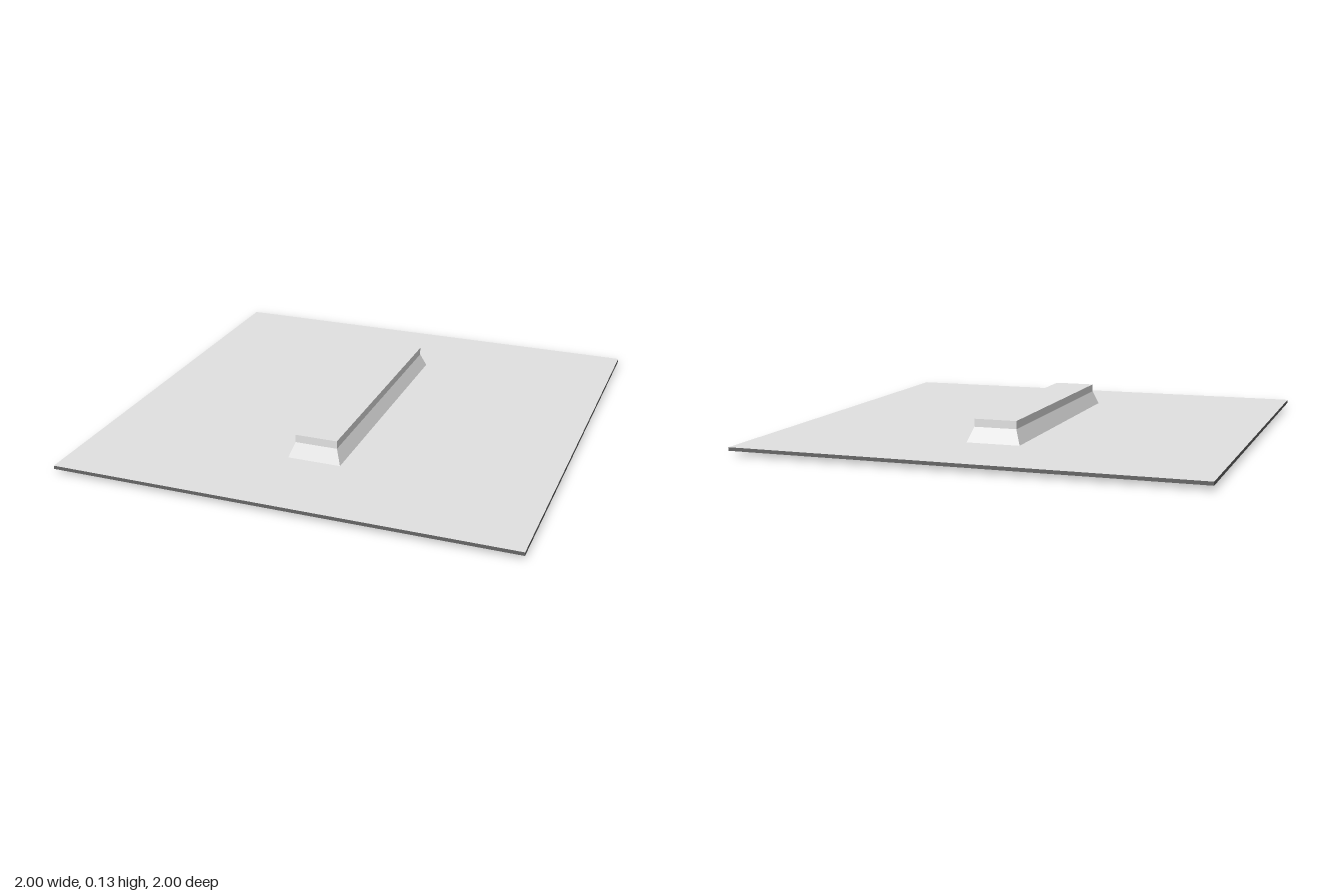
import * as THREE from 'three';

// Skin a stack of rectangular rings [halfWidth, halfLength, y] with flat faces
function rectLoft(rings) {
  const corners = [[1, 1], [1, -1], [-1, -1], [-1, 1]];
  const point = (r, i) => [corners[i % 4][0] * r[0], r[2], corners[i % 4][1] * r[1]];
  const positions = [];
  for (let k = 0; k < rings.length - 1; k++) {
    for (let i = 0; i < 4; i++) {
      const a = point(rings[k], i), b = point(rings[k], i + 1);
      const c = point(rings[k + 1], i + 1), d = point(rings[k + 1], i);
      positions.push(...a, ...b, ...c, ...a, ...c, ...d);
    }
  }
  const geometry = new THREE.BufferGeometry();
  geometry.setAttribute('position', new THREE.Float32BufferAttribute(positions, 3));
  geometry.computeVertexNormals();
  return geometry;
}

function rectangle(Type, w, l) {
  return new Type([[-w, -l], [w, -l], [w, l], [-w, l]].map(([x, y]) => new THREE.Vector2(x, y)));
}

function material(name, color) {
  const result = new THREE.MeshStandardMaterial({ color });
  result.name = name;
  return result;
}

export function createModel() {
  const group = new THREE.Group();
  const lightGrey = material('light grey', 0xe2e2e2);
  const darkGrey = material('dark grey', 0x666666);

  function add(name, geometry, materials, y = 0, z = 0) {
    const mesh = new THREE.Mesh(geometry, materials);
    mesh.name = name;
    mesh.position.set(0, y, z);
    group.add(mesh);
  }

  // Thin square panel with dark edges and a slot for the housing
  const panel = rectangle(THREE.Shape, 1, 1);
  panel.holes.push(rectangle(THREE.Path, 0.114, 0.588));
  const panelGeometry = new THREE.ExtrudeGeometry(panel, { depth: 0.015, bevelEnabled: false });
  panelGeometry.rotateX(-Math.PI / 2);
  add('panel', panelGeometry, [lightGrey, darkGrey], 0.018);

  // Hollow housing, open below: inner ceiling, inner walls, rim, flared outside, top
  add('housing', rectLoft([
    [0, 0, 0.05],
    [0.088, 0.567, 0.05],
    [0.1, 0.58, 0],
    [0.12, 0.6, 0],
    [0.117, 0.591, 0.033],
    [0.093, 0.563, 0.096],
    [0.093, 0.563, 0.13],
    [0, 0, 0.13],
  ]), lightGrey);

  // Shallow ribs across the recess ceiling
  for (const z of [-0.32, 0.32]) {
    add('recessRib', new THREE.BoxGeometry(0.176, 0.008, 0.008), lightGrey, 0.048, z);
  }

  return group;
}
